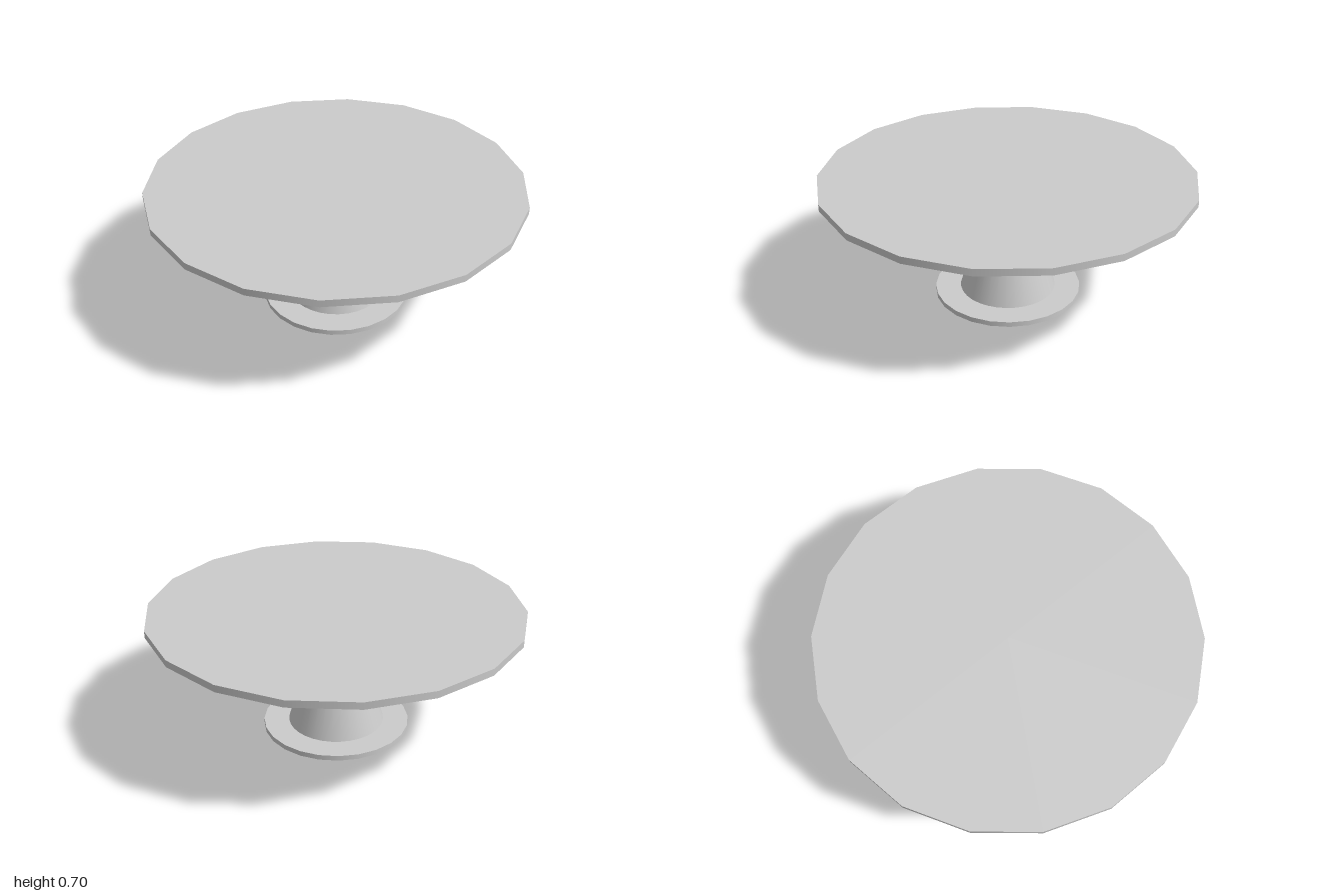
import * as THREE from 'three';

export function createModel() {
  const group = new THREE.Group();
  const material = new THREE.MeshStandardMaterial({ color: 0xcccccc });

  // Upright round part between two heights, with a corner on the x axis
  function addRound(name, rTop, rBottom, y0, y1, sides) {
    const geometry = new THREE.CylinderGeometry(rTop, rBottom, y1 - y0, sides);
    geometry.rotateY(Math.PI / 2);
    const mesh = new THREE.Mesh(geometry, material);
    mesh.name = name;
    mesh.position.y = (y0 + y1) / 2;
    group.add(mesh);
  }

  addRound('footPlate', 0.4, 0.4, 0, 0.028, 24);
  addRound('pedestal', 0.073, 0.262, 0.028, 0.66, 32);
  addRound('tableTop', 1, 1, 0.66, 0.697, 18);

  return group;
}
